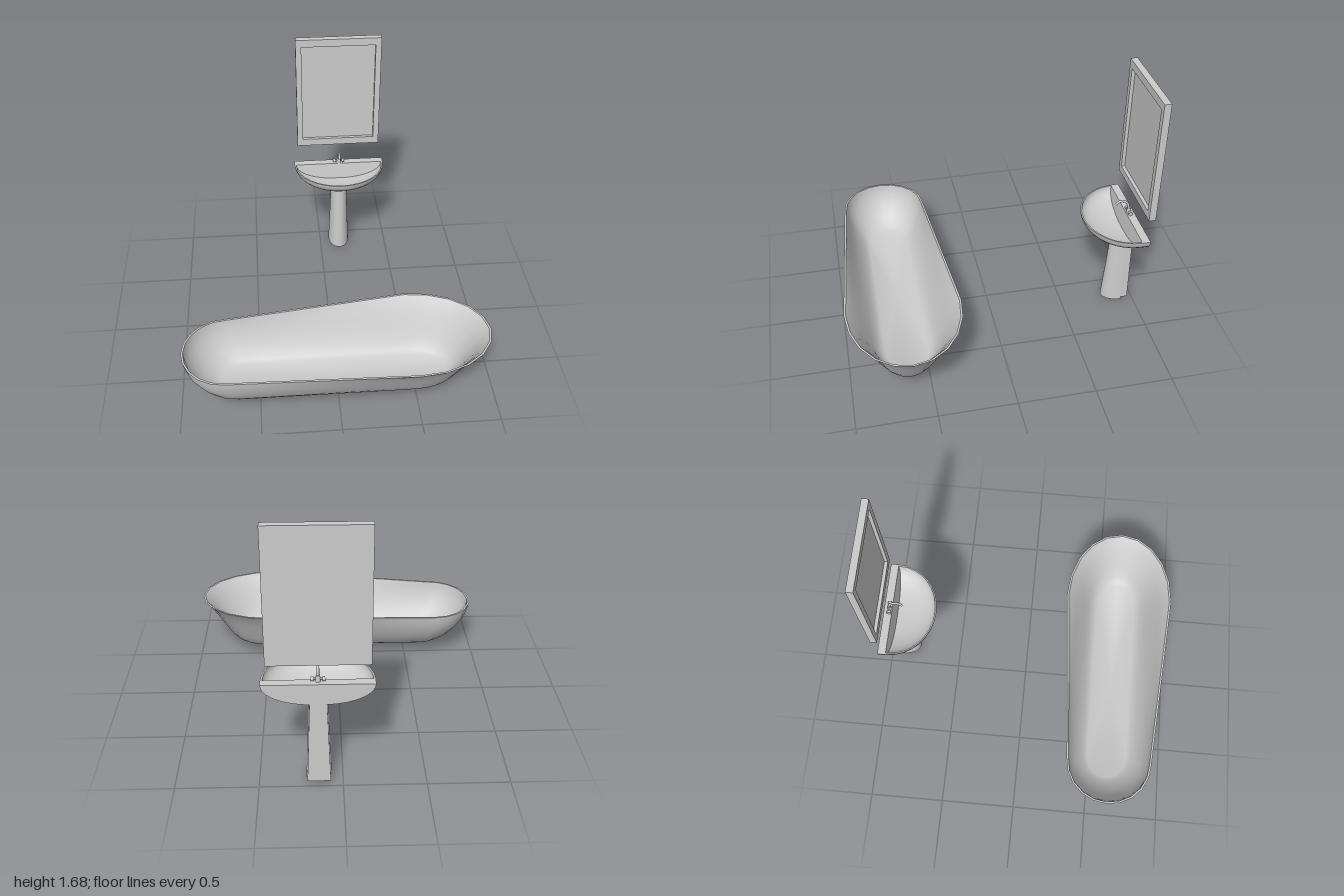
import * as THREE from 'three';
import { toCreasedNormals } from 'three/addons/utils/BufferGeometryUtils.js';

const grey = new THREE.MeshStandardMaterial({ color: 0xcccccc, side: THREE.DoubleSide });

function addMesh(parent, name, geometry, x = 0, y = 0, z = 0) {
  const mesh = new THREE.Mesh(geometry, grey);
  mesh.name = name;
  mesh.position.set(x, y, z);
  parent.add(mesh);
  return mesh;
}

// Skin a stack of closed rings and cap both ends.
function loft(rings, crease = 0.7) {
  const n = rings[0].length, pos = [], idx = [];
  rings.forEach((ring) => ring.forEach((p) => pos.push(p.x, p.y, p.z)));
  for (let k = 0; k < rings.length - 1; k++) {
    for (let i = 0; i < n; i++) {
      const a = k * n + i, b = k * n + ((i + 1) % n);
      idx.push(a, a + n, b, b, a + n, b + n);
    }
  }
  const cap = (k, flip) => {
    const c = new THREE.Vector3();
    rings[k].forEach((p) => c.addScaledVector(p, 1 / n));
    const centre = pos.length / 3;
    pos.push(c.x, c.y, c.z);
    for (let i = 0; i < n; i++) {
      const a = k * n + i, b = k * n + ((i + 1) % n);
      if (flip) idx.push(centre, b, a);
      else idx.push(centre, a, b);
    }
  };
  cap(0, false);
  cap(rings.length - 1, true);
  const g = new THREE.BufferGeometry();
  g.setAttribute('position', new THREE.Float32BufferAttribute(pos, 3));
  g.setIndex(idx);
  return toCreasedNormals(g, crease);
}

// Plan outline: two half-ellipses joined by straight sides.
function tubOutline(xL, rxL, rzL, xR, rxR, rzR) {
  const arc = 10, side = 6, pts = [];
  for (let i = 0; i <= arc; i++) {
    const a = -Math.PI / 2 + (Math.PI * i) / arc;
    pts.push([xR + rxR * Math.cos(a), rzR * Math.sin(a)]);
  }
  const lerp = THREE.MathUtils.lerp;
  for (let i = 1; i < side; i++) pts.push([lerp(xR, xL, i / side), lerp(rzR, rzL, i / side)]);
  for (let i = 0; i <= arc; i++) {
    const a = Math.PI / 2 + (Math.PI * i) / arc;
    pts.push([xL + rxL * Math.cos(a), rzL * Math.sin(a)]);
  }
  for (let i = 1; i < side; i++) pts.push([lerp(xL, xR, i / side), -lerp(rzL, rzR, i / side)]);
  return pts;
}

function createBathtub() {
  const height = [0, 0.05, 0.12, 0.25, 0.45, 0.7, 0.88, 1];
  const footEnd = [0, 0.14, 0.27, 0.48, 0.7, 0.9, 0.97, 1];
  const headEnd = [0, 0.12, 0.22, 0.34, 0.5, 0.7, 0.86, 1];
  const floor = tubOutline(-0.6, 0.15, 0.138, 0.5, 0.205, 0.138);
  const shell = (wall, base) => {
    const rim = tubOutline(-0.7, 0.28 - wall, 0.285 - wall, 0.47, 0.502 - wall, 0.37 - wall);
    return height.map((s, k) => rim.map(([rx, rz], i) => {
      const w = THREE.MathUtils.clamp((rx + 0.7) / 1.17, 0, 1);
      const t = THREE.MathUtils.lerp(footEnd[k], headEnd[k], w);
      const top = 0.37 + 0.06 * w;
      return new THREE.Vector3(
        THREE.MathUtils.lerp(floor[i][0], rx, t),
        THREE.MathUtils.lerp(base, top, s),
        0.625 + THREE.MathUtils.lerp(floor[i][1], rz, t));
    }));
  };
  // Up the outside, over the rim and down the inside
  return loft([...shell(0, 0.08), ...shell(0.013, 0.095).reverse()]);
}

// D-shaped ring with its flat side towards the back.
function dRing(y, rx, rz, zMid, zBack, segments) {
  const pts = [];
  for (let i = 0; i <= segments; i++) {
    const a = (Math.PI * i) / segments;
    pts.push(new THREE.Vector3(rx * Math.cos(a), y, zMid + rz * Math.sin(a)));
  }
  pts.push(new THREE.Vector3(-rx, y, zBack), new THREE.Vector3(rx, y, zBack));
  return pts;
}

function createBasin() {
  const steps = 9, outer = [], inner = [];
  for (let k = 0; k <= steps; k++) {
    const v = (k / steps) * 1.42;
    const c = Math.cos(v) ** 0.9, d = Math.sin(v);
    outer.push(dRing(0.7 - 0.138 * d, 0.328 * c, 0.302 * c, -0.92, -0.972, 16));
    inner.push(dRing(0.7 - 0.118 * d, 0.316 * c, 0.282 * c, -0.91 + 0.02 * d, -0.918 + 0.02 * d, 16));
  }
  return loft([...outer.reverse(), ...inner]);
}

function createSink() {
  const sink = new THREE.Group();
  sink.name = 'sink';
  sink.position.x = 0.143;
  addMesh(sink, 'basin', createBasin());

  // Tapering pedestal with a slimmer spine behind it
  const pedestalRing = (y, rx, rz) => dRing(y, rx, rz, -0.915, -0.92, 14);
  addMesh(sink, 'pedestal', loft([
    pedestalRing(0, 0.077, 0.12), pedestalRing(0.3, 0.065, 0.1), pedestalRing(0.575, 0.056, 0.085)]));
  const spineRing = (y, w) => [[w, -0.915], [-w, -0.915], [-w, -0.967], [w, -0.967]]
    .map(([x, z]) => new THREE.Vector3(x, y, z));
  addMesh(sink, 'pedestalSpine', loft([spineRing(0.01, 0.07), spineRing(0.58, 0.05)]));

  // Tap with arched spout and side handles
  const tap = new THREE.Group();
  tap.name = 'tap';
  tap.position.set(0, 0.7, -0.935);
  sink.add(tap);
  addMesh(tap, 'tapBase', new THREE.CylinderGeometry(0.012, 0.016, 0.04, 12), 0, 0.02, 0);
  const arch = new THREE.CatmullRomCurve3([
    [0, 0.02, 0], [0, 0.06, 0.005], [0, 0.09, 0.025], [0, 0.102, 0.055], [0, 0.094, 0.08], [0, 0.078, 0.092],
  ].map((p) => new THREE.Vector3(...p)));
  addMesh(tap, 'spout', new THREE.TubeGeometry(arch, 20, 0.008, 10));
  const bar = addMesh(tap, 'handleBar', new THREE.CylinderGeometry(0.006, 0.006, 0.07, 10), 0, 0.016, 0);
  bar.rotation.z = Math.PI / 2;
  for (const s of [-1, 1]) {
    const knob = addMesh(tap, 'handle', new THREE.CylinderGeometry(0.014, 0.014, 0.016, 10), s * 0.033, 0.016, 0);
    knob.rotation.z = Math.PI / 2;
  }
  return sink;
}

function createMirror() {
  const mirror = new THREE.Group();
  mirror.name = 'wallMirror';
  mirror.position.set(0.14, 1.265, -1);
  const rect = (Type, w, h) => new Type([
    new THREE.Vector2(-w, -h), new THREE.Vector2(w, -h), new THREE.Vector2(w, h), new THREE.Vector2(-w, h)]);
  const frame = rect(THREE.Shape, 0.297, 0.42);
  frame.holes.push(rect(THREE.Path, 0.257, 0.367));
  addMesh(mirror, 'mirrorFrame', new THREE.ExtrudeGeometry(frame, { depth: 0.045, bevelEnabled: false }));
  addMesh(mirror, 'mirrorPanel', new THREE.BoxGeometry(0.514, 0.734, 0.022), 0, 0, 0.011);
  return mirror;
}

export function createModel() {
  const model = new THREE.Group();
  model.name = 'bathroomSet';
  addMesh(model, 'bathtub', createBathtub());
  model.add(createSink(), createMirror());
  return model;
}
